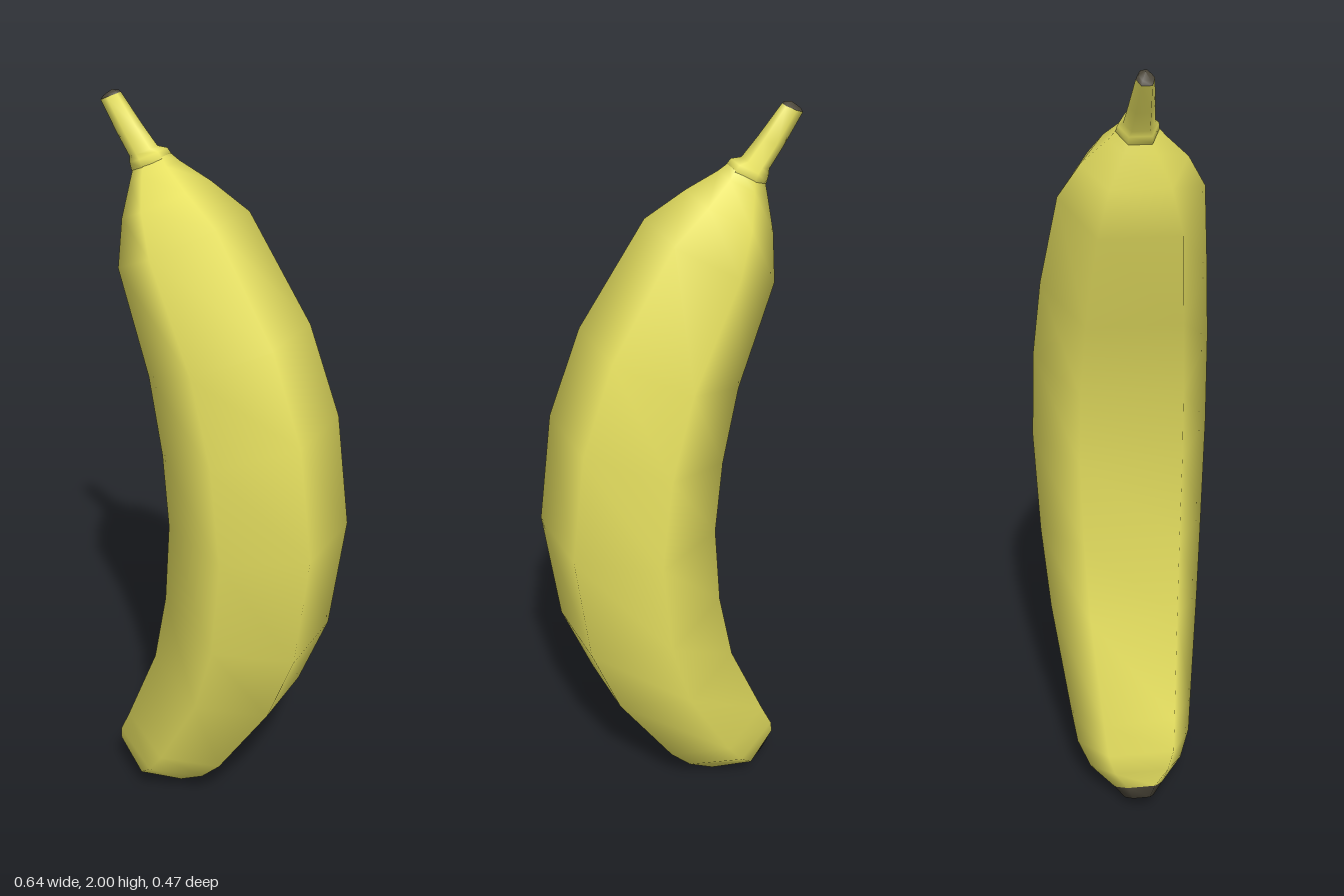
import * as THREE from 'three';

// Six-sided ring: [t from outer to inner edge, z as a fraction of half-width]
const RING = [[0, 0.43], [0.46, 1], [1, 0.58], [1, -0.55], [0.52, -1], [0.03, -0.51]];

// Sections run top to bottom: [outerX, outerY, innerX, innerY, halfWidth]
function loft(name, sections, color) {
  const pos = [], idx = [], n = RING.length;
  for (const [ox, oy, ix, iy, w] of sections) {
    for (const [t, z] of RING) pos.push(ox + (ix - ox) * t, oy + (iy - oy) * t, z * w);
  }
  for (let i = 0; i < sections.length - 1; i++) {
    for (let j = 0; j < n; j++) {
      const a = i * n + j, b = i * n + (j + 1) % n;
      idx.push(a, b, a + n, b, b + n, a + n);
    }
  }
  const geo = new THREE.BufferGeometry();
  geo.setAttribute('position', new THREE.Float32BufferAttribute(pos, 3));
  geo.setIndex(idx);
  geo.computeVertexNormals();
  const mesh = new THREE.Mesh(geo, new THREE.MeshStandardMaterial({ color }));
  mesh.name = name;
  return mesh;
}

export function createModel() {
  const group = new THREE.Group();
  group.name = 'banana';
  const yellow = 0xe6e060, dark = 0x4a4538;

  // Curved fruit, from the neck down to the blossom end
  group.add(loft('peel', [
    [-0.155, 1.872, -0.225, 1.84, 0.04],
    [-0.13, 1.85, -0.228, 1.80, 0.065],
    [-0.06, 1.805, -0.23, 1.72, 0.125],
    [0.035, 1.74, -0.225, 1.605, 0.175],
    [0.2, 1.48, -0.13, 1.35, 0.21],
    [0.283, 1.25, -0.088, 1.15, 0.228],
    [0.32, 0.95, -0.07, 0.95, 0.234],
    [0.28, 0.63, -0.09, 0.72, 0.222],
    [0.2, 0.42, -0.135, 0.51, 0.204],
    [0.04, 0.165, -0.245, 0.255, 0.167],
    [-0.02, 0.10, -0.28, 0.18, 0.155],
    [-0.1, 0.045, -0.293, 0.13, 0.125],
    [-0.195, 0.014, -0.30, 0.085, 0.065],
  ], yellow));

  // Dark blossom end
  group.add(loft('blossomTip', [
    [-0.195, 0.014, -0.30, 0.085, 0.065],
    [-0.23, 0.002, -0.303, 0.05, 0.04],
    [-0.262, 0.015, -0.262, 0.015, 0],
  ], dark));

  // Tapered stem with a slight collar at its base
  group.add(loft('stem', [
    [-0.278, 1.995, -0.322, 1.975, 0.021],
    [-0.222, 1.925, -0.275, 1.905, 0.03],
    [-0.183, 1.88, -0.238, 1.855, 0.036],
    [-0.158, 1.878, -0.234, 1.842, 0.047],
    [-0.145, 1.862, -0.228, 1.825, 0.05],
    [-0.145, 1.84, -0.215, 1.80, 0.03],
  ], yellow));

  // Dark cut end of the stem
  group.add(loft('stemEnd', [
    [-0.298, 2.0, -0.298, 2.0, 0],
    [-0.283, 2.0, -0.317, 1.985, 0.015],
    [-0.278, 1.995, -0.322, 1.975, 0.021],
  ], dark));

  return group;
}
